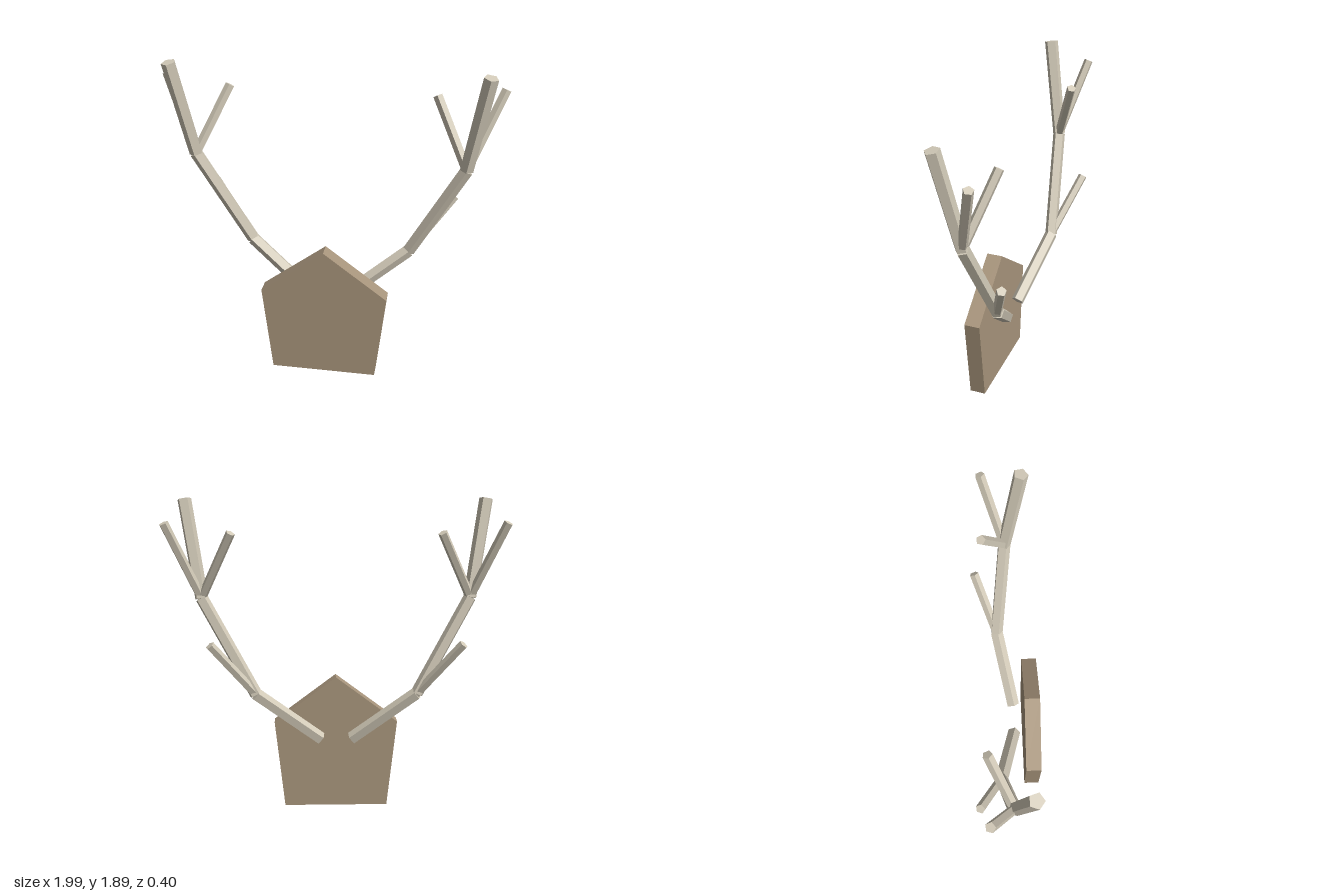
import * as THREE from 'three';

const V = (x, y, z) => new THREE.Vector3(x, y, z);
const UP = V(0, 1, 0);

export function createModel() {
  const model = new THREE.Group();
  model.name = 'mountedAntlers';
  const wood = new THREE.MeshStandardMaterial({ color: 0xa8957c, flatShading: true });
  const bone = new THREE.MeshStandardMaterial({ color: 0xd2cab8, flatShading: true });

  // Five-sided wall plaque
  const outline = new THREE.Shape([
    [-0.315, 0], [0.315, 0], [0.375, 0.535], [0, 0.815], [-0.375, 0.535],
  ].map(([x, y]) => new THREE.Vector2(x, y)));
  const plaqueGeometry = new THREE.ExtrudeGeometry(outline, { depth: 0.095, bevelEnabled: false });
  plaqueGeometry.translate(0, 0, 0.11);
  const plaque = new THREE.Mesh(plaqueGeometry, wood);
  plaque.name = 'plaque';
  model.add(plaque);

  // Joints along the left antler; the right one mirrors them
  const base = V(0.095, 0.45, 0.045);
  const knee = V(0.475, 0.75, -0.045);
  const fork = V(0.785, 1.315, 0.015);
  const segments = [
    ['lowerBeam', base, knee, 0.04, 0.04],
    ['middleBeam', knee, fork, 0.039, 0.039],
    ['upperBeam', fork, V(0.88, 1.882, 0.11), 0.04, 0.042],
    ['browTine', knee, V(0.725, 1.07, -0.17), 0.028, 0.028],
    ['innerTine', fork, V(0.597, 1.7, -0.115), 0.028, 0.028],
    ['outerTine', fork, V(0.97, 1.755, -0.11), 0.028, 0.028],
  ];

  // Five-sided rod between two points
  const rod = (name, from, to, r0, r1) => {
    const axis = to.clone().sub(from);
    const mesh = new THREE.Mesh(new THREE.CylinderGeometry(r1, r0, axis.length(), 5), bone);
    mesh.position.copy(from).addScaledVector(axis, 0.5);
    mesh.quaternion.setFromUnitVectors(UP, axis.normalize());
    mesh.name = name;
    return mesh;
  };

  for (const [name, side] of [['leftAntler', 1], ['rightAntler', -1]]) {
    const antler = new THREE.Group();
    antler.name = name;
    const mirror = V(side, 1, 1);
    for (const [part, from, to, r0, r1] of segments) {
      antler.add(rod(part, from.clone().multiply(mirror), to.clone().multiply(mirror), r0, r1));
    }
    model.add(antler);
  }
  return model;
}
